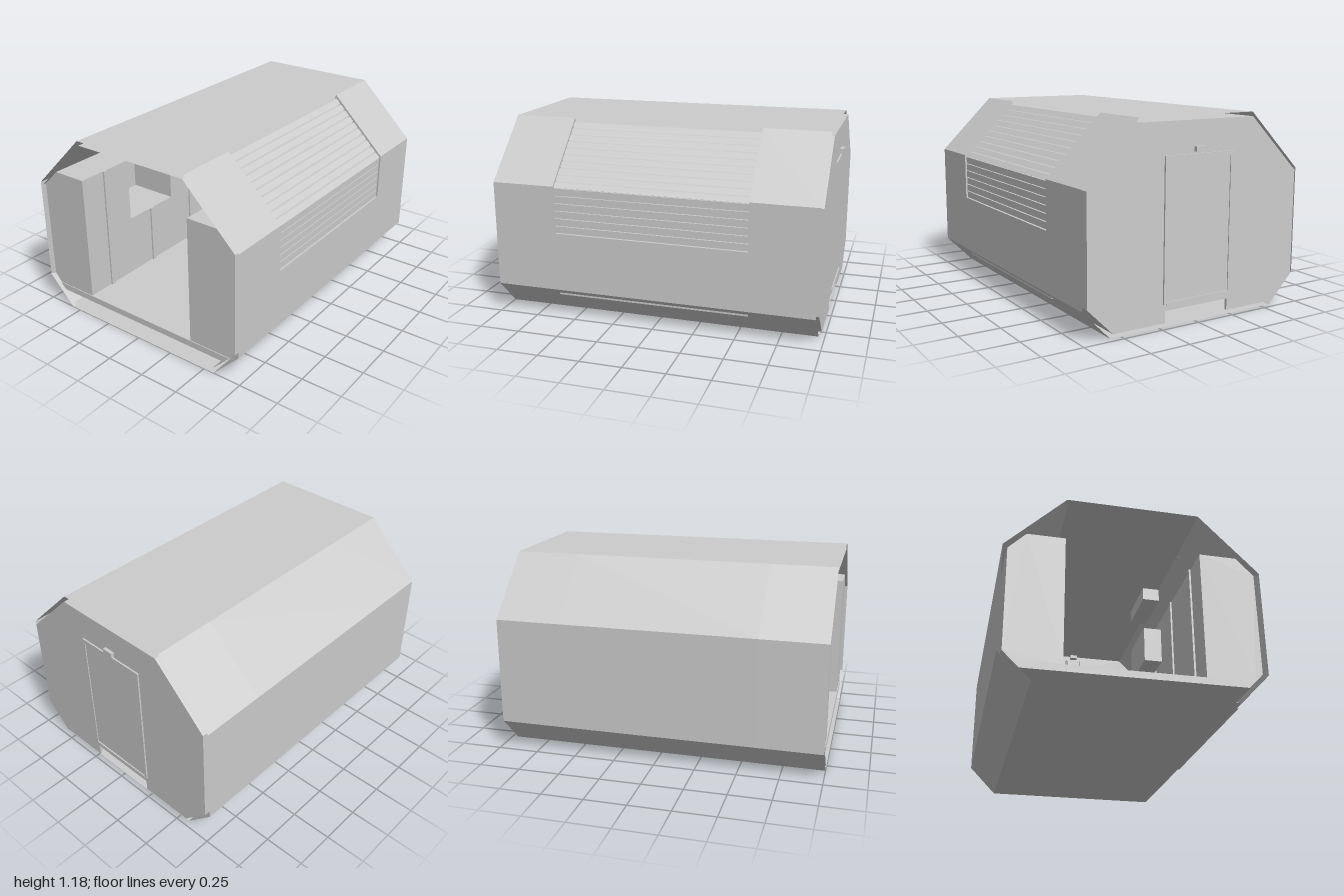
import * as THREE from 'three';

export function createModel() {
  const model = new THREE.Group();
  const grey = new THREE.MeshStandardMaterial({ color: 0xcccccc, side: THREE.DoubleSide });
  grey.name = 'light grey';

  const add = (name, geometry) => {
    const mesh = new THREE.Mesh(geometry, grey);
    mesh.name = name;
    model.add(mesh);
    return mesh;
  };
  // Box given by its limits on each axis
  const box = (name, x0, x1, y0, y1, z0, z1) =>
    add(name, new THREE.BoxGeometry(x1 - x0, y1 - y0, z1 - z0)
      .translate((x0 + x1) / 2, (y0 + y1) / 2, (z0 + z1) / 2));
  // Solid with a cross-section in x and y, running from z0 to z1
  const prism = (name, points, z0, z1, hole) => {
    const shape = new THREE.Shape(points.map(([x, y]) => new THREE.Vector2(x, y)));
    if (hole) shape.holes.push(new THREE.Path(hole.map(([x, y]) => new THREE.Vector2(x, y))));
    return add(name, new THREE.ExtrudeGeometry(shape, { depth: z1 - z0, bevelEnabled: false }).translate(0, 0, z0));
  };
  // Thin sheet that follows a line of points from z0 to z1
  const sheet = (name, points, z0, z1) => {
    const position = [];
    for (let i = 0; i + 1 < points.length; i++) {
      const [ax, ay] = points[i], [bx, by] = points[i + 1];
      position.push(ax, ay, z0, bx, by, z1, ax, ay, z1, ax, ay, z0, bx, by, z0, bx, by, z1);
    }
    const geometry = new THREE.BufferGeometry();
    geometry.setAttribute('position', new THREE.Float32BufferAttribute(position, 3));
    geometry.computeVertexNormals();
    return add(name, geometry);
  };
  const rect = (w, y0, y1) => [[-w, y0], [w, y0], [w, y1], [-w, y1]];

  const front = 1, back = -0.965, ventFront = 0.61, ventBack = -0.57;

  // Outer shell, with an opening for the vents on the left slope and wall
  const outer = [[0.39, 1.18], [-0.39, 1.18], [-0.743, 0.83], [-0.743, 0.18],
    [-0.567, 0], [0.567, 0], [0.743, 0.18], [0.743, 0.83]];
  const closed = [...outer, outer[0]];
  sheet('frontShell', closed, ventFront, front);
  sheet('middleShell', [...outer.slice(0, 7), [0.743, 0.54]], ventBack, ventFront);
  sheet('rearShell', closed, back, ventBack);

  // Inner lining
  const inner = [[0.38, 1.155], [-0.38, 1.155], [-0.72, 0.82], [-0.72, 0.19],
    [-0.56, 0.03], [0.56, 0.03], [0.72, 0.19], [0.72, 0.82]];
  sheet('lining', [...inner, inner[0]], back, front);

  // Edges of the vent opening
  const rim = [[0.39, 1.18], [0.743, 0.83], [0.743, 0.54], [0.72, 0.54], [0.72, 0.82], [0.38, 1.155]];
  prism('ventRim', rim, ventFront, ventFront + 0.004);
  prism('ventRim', rim, ventBack - 0.004, ventBack);
  box('ventSill', 0.72, 0.743, 0.536, 0.54, ventBack, ventFront);

  // Vent slats on the wall and on the slope
  for (let i = 0; i < 6; i++) {
    const y = 0.54 + i * 0.0467;
    box('wallSlat', 0.72, 0.732, y + 0.002, y + 0.043, ventBack, ventFront);
  }
  const slopeX = (y) => 0.72 - (y - 0.82) * 1.015;
  for (let i = 0; i < 10; i++) {
    const a = 0.822 + i * 0.034, b = a + 0.027;
    prism('slopeSlat', [[slopeX(a), a], [slopeX(b), b], [slopeX(b) + 0.016, b], [slopeX(a) + 0.016, a]],
      ventBack, ventFront);
  }

  // Floor
  prism('floor', [[-0.67, 0.14], [-0.63, 0.1], [0.63, 0.1], [0.67, 0.14]], back, 0.99);

  // Five cabinet bays on each side; the second right-hand bay has an open shelf
  const bay = 0.393;
  for (const side of [-1, 1]) {
    for (let i = 0; i < 5; i++) {
      const z1 = i === 0 ? 0.985 : front - i * bay, z0 = front - (i + 1) * bay;
      const low = side < 0 && i === 1;
      const top = low ? [[0.392, 0.52], [0.715, 0.52]] : [[0.392, 0.925], [0.612, 0.925], [0.715, 0.82]];
      const deep = side > 0 && i > 0 && i < 4;
      const bottom = deep ? [[0.715, 0.14]] : [[0.715, 0.19], [0.67, 0.14]];
      prism(low ? 'lowCabinet' : 'cabinet',
        [[0.392, 0.14], ...top, ...bottom].map(([x, y]) => [x * side, y]), z0, z1);
      // Upright rail in the middle of each bay
      const z = front - (i + 0.5) * bay;
      const x = side * 0.387;
      box('uprightRail', x - 0.006, x + 0.006, 0.14, low ? 0.52 : 0.925, z - 0.014, z + 0.014);
    }
  }

  // Equipment on the left-hand cabinets and ceiling
  box('wallConsole', 0.27, 0.385, 0.61, 0.845, -0.15, 0.19);
  box('ceilingBox', 0.27, 0.38, 1.065, 1.15, -0.15, 0.19);

  // Rear wall with a notch under the door
  prism('rearWall', [...inner.slice(0, 5), [-0.22, 0.03], [-0.22, 0.1], [0.22, 0.1], [0.22, 0.03],
    ...inner.slice(5)], -0.98, back);

  // Door, framed on both faces
  for (const [z0, z1] of [[-0.99, -0.98], [back, back + 0.01]]) {
    prism('doorFrame', rect(0.235, 0.14, 0.97), z0, z1, rect(0.217, 0.152, 0.945));
  }
  box('doorPanel', -0.217, 0.217, 0.152, 0.945, -0.984, back + 0.004);
  box('doorSill', -0.215, 0.215, 0.135, 0.15, -0.992, -0.98);
  box('doorLamp', -0.035, 0.035, 0.98, 1.01, -1, -0.98);
  box('innerDoorLamp', -0.035, 0.035, 0.98, 1.01, back, back + 0.02);

  // Small screen in a bracket above the door
  box('screen', -0.047, 0.047, 1.045, 1.11, -0.95, -0.93);
  for (const x of [-0.055, 0.055]) box('screenBracket', x - 0.005, x + 0.005, 1.03, 1.11, back, -0.92);
  box('ceilingMount', -0.025, 0.025, 1.13, 1.155, back, -0.93);

  return model;
}
